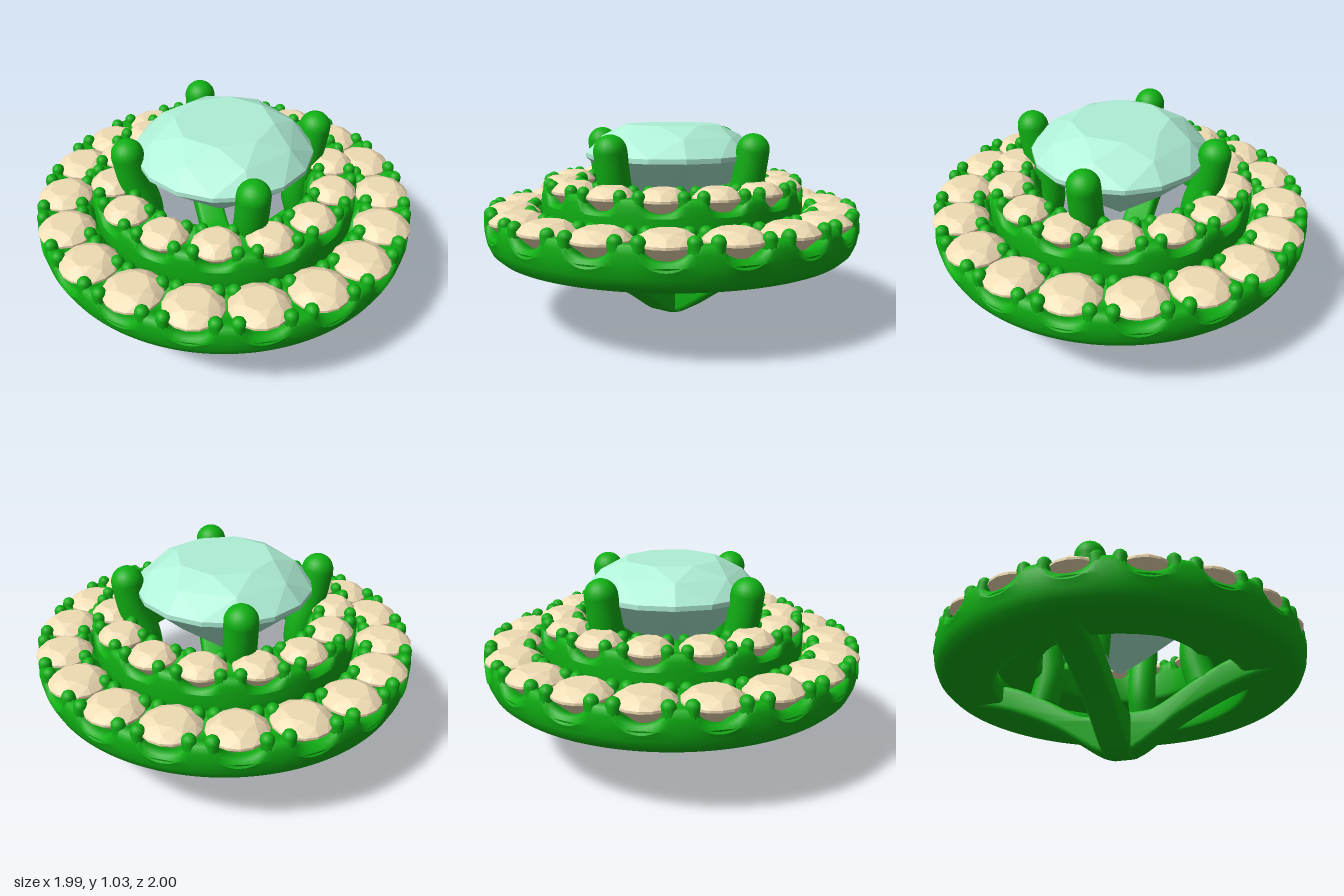
import * as THREE from 'three';
import { mergeVertices, toCreasedNormals } from 'three/addons/utils/BufferGeometryUtils.js';
import { ConvexGeometry } from 'three/addons/geometries/ConvexGeometry.js';

const metal = new THREE.MeshStandardMaterial({ color: 0x10b014 });
const paleStone = new THREE.MeshStandardMaterial({ color: 0xf0dcb4, flatShading: true });
const greenStone = new THREE.MeshStandardMaterial({ color: 0xaff0d6, flatShading: true });

function add(parent, name, geometry, material) {
  const mesh = new THREE.Mesh(geometry, material);
  mesh.name = name;
  parent.add(mesh);
  return mesh;
}

// Brilliant-cut gem with its girdle at y = 0
function gemGeometry(radius, crown, pavilion, girdle) {
  const points = [new THREE.Vector3(0, -pavilion, 0)];
  const ring = (count, r, y, turn) => {
    for (let i = 0; i < count; i++) {
      const a = ((i + turn) / count) * Math.PI * 2;
      points.push(new THREE.Vector3(Math.sin(a) * r * radius, y, Math.cos(a) * r * radius));
    }
  };
  ring(8, 0.55, crown, 0.5);
  ring(8, 0.81, crown * 0.64, 0);
  ring(16, 1, girdle, 0);
  ring(16, 1, -girdle, 0);
  ring(8, 0.56, -pavilion * 0.5, 0.5);
  return new ConvexGeometry(points);
}

// Lathed ring whose upper edge is scooped out below every stone
function scallopedRing(profile, count, rimY, depth, halfWidth) {
  const points = profile.map(([r, y]) => new THREE.Vector2(r, y));
  const geometry = new THREE.LatheGeometry(points, count * 14);
  const pos = geometry.attributes.position;
  const step = (Math.PI * 2) / count;
  for (let i = 0; i < pos.count; i++) {
    const x = pos.getX(i), y = pos.getY(i), z = pos.getZ(i);
    const a = Math.atan2(x, z);
    const off = (a - Math.round(a / step) * step) / (halfWidth * step);
    const scoop = Math.sqrt(Math.max(0, 1 - off * off));
    if (y > rimY) pos.setY(i, y - depth * scoop * Math.min(1, (y - rimY) / 0.03));
  }
  geometry.deleteAttribute('uv');
  geometry.deleteAttribute('normal');
  const merged = mergeVertices(geometry, 1e-4);
  merged.computeVertexNormals();
  return merged;
}

// Ring of stones, each held by four small claws
function halo(parent, name, o) {
  const group = new THREE.Group();
  group.name = name;
  parent.add(group);
  add(group, 'ringBody', scallopedRing(o.profile, o.count, o.rimY, o.depth, 0.32), metal);
  const stone = gemGeometry(o.stoneRadius, 0.05, 0.13, 0.006);
  const claw = new THREE.CapsuleGeometry(o.clawRadius, 0.08, 5, 10);
  for (let i = 0; i < o.count; i++) {
    const setting = new THREE.Group();
    setting.name = 'stoneSetting';
    setting.rotation.y = (i / o.count) * Math.PI * 2;
    group.add(setting);
    add(setting, 'smallStone', stone, paleStone).position.set(0, o.top - 0.05, o.radius);
    for (const side of [-1, 1]) {
      for (const [t, r] of o.claws) {
        const mesh = add(setting, 'claw', claw, metal);
        mesh.position.set(side * t, o.top - 0.04 - o.clawRadius, r);
        mesh.rotation.z = side * 0.12;
      }
    }
  }
}

export function createModel() {
  const model = new THREE.Group();
  model.name = 'jewelHead';

  halo(model, 'outerHalo', {
    count: 18, radius: 0.853, stoneRadius: 0.145, top: 0.622, rimY: 0.5, depth: 0.075, clawRadius: 0.034,
    claws: [[0.122, 0.953], [0.1, 0.755]],
    profile: [[0.67, 0.37], [0.69, 0.36], [0.78, 0.36], [0.89, 0.36], [0.935, 0.368], [0.965, 0.395], [0.985, 0.44],
      [0.994, 0.49], [0.996, 0.545], [0.985, 0.58], [0.955, 0.585], [0.91, 0.555], [0.855, 0.54],
      [0.8, 0.555], [0.755, 0.585], [0.725, 0.58], [0.705, 0.55], [0.68, 0.5], [0.67, 0.44], [0.67, 0.37]],
  });
  halo(model, 'innerHalo', {
    count: 14, radius: 0.58, stoneRadius: 0.118, top: 0.762, rimY: 0.645, depth: 0.07, clawRadius: 0.031,
    claws: [[0.108, 0.655], [0.078, 0.498]],
    profile: [[0.44, 0.51], [0.46, 0.49], [0.57, 0.48], [0.67, 0.49], [0.695, 0.52], [0.7, 0.6],
      [0.7, 0.65], [0.7, 0.69], [0.69, 0.72], [0.66, 0.725], [0.63, 0.7], [0.58, 0.685],
      [0.53, 0.7], [0.5, 0.725], [0.465, 0.72], [0.45, 0.69], [0.44, 0.65], [0.44, 0.51]],
  });

  // Main gem
  add(model, 'centreGem', gemGeometry(0.46, 0.16, 0.4, 0.012), greenStone).position.y = 0.87;

  // Two crossed bars forming the basket underneath
  const lower = new THREE.CatmullRomCurve3([[0.05, 0], [0.11, 0.02], [0.34, 0.17], [0.62, 0.3], [0.78, 0.345], [0.9, 0.365]]
    .map(([r, y]) => new THREE.Vector3(r, y, 0))).getPoints(30);
  const upper = new THREE.CatmullRomCurve3([[0.9, 0.47], [0.78, 0.48], [0.62, 0.45], [0.43, 0.36], [0.2, 0.23], [0.13, 0.22]]
    .map(([r, y]) => new THREE.Vector3(r, y, 0))).getPoints(30);
  const half = [...lower, ...upper].map((p) => new THREE.Vector2(p.x, p.y));
  const outline = [...half, ...half.map((p) => new THREE.Vector2(-p.x, p.y)).reverse()];
  const bevel = 0.025;
  let bar = new THREE.ExtrudeGeometry(new THREE.Shape(outline), {
    depth: 0.16 - 2 * bevel, bevelEnabled: true, bevelThickness: bevel, bevelSize: bevel,
    bevelOffset: -bevel, bevelSegments: 3,
  });
  bar.translate(0, 0, -0.08 + bevel);
  bar = toCreasedNormals(bar, 0.7);
  for (const turn of [1, -1]) add(model, 'basketBar', bar, metal).rotation.y = (turn * Math.PI) / 4;

  // Four round-topped prongs rising from the bars to grip the main gem
  const path = new THREE.CatmullRomCurve3([[0.45, 0.36], [0.42, 0.5], [0.43, 0.62], [0.474, 0.76], [0.5, 0.915]]
    .map(([r, y]) => new THREE.Vector3(0, y, r)));
  const stem = new THREE.TubeGeometry(path, 24, 0.083, 20);
  const tip = new THREE.SphereGeometry(0.083, 20, 14);
  for (let i = 0; i < 4; i++) {
    const prong = new THREE.Group();
    prong.name = 'mainProng';
    prong.rotation.y = Math.PI / 4 + (i * Math.PI) / 2;
    model.add(prong);
    add(prong, 'prongStem', stem, metal);
    add(prong, 'prongTip', tip, metal).position.set(0, 0.915, 0.5);
  }
  return model;
}
